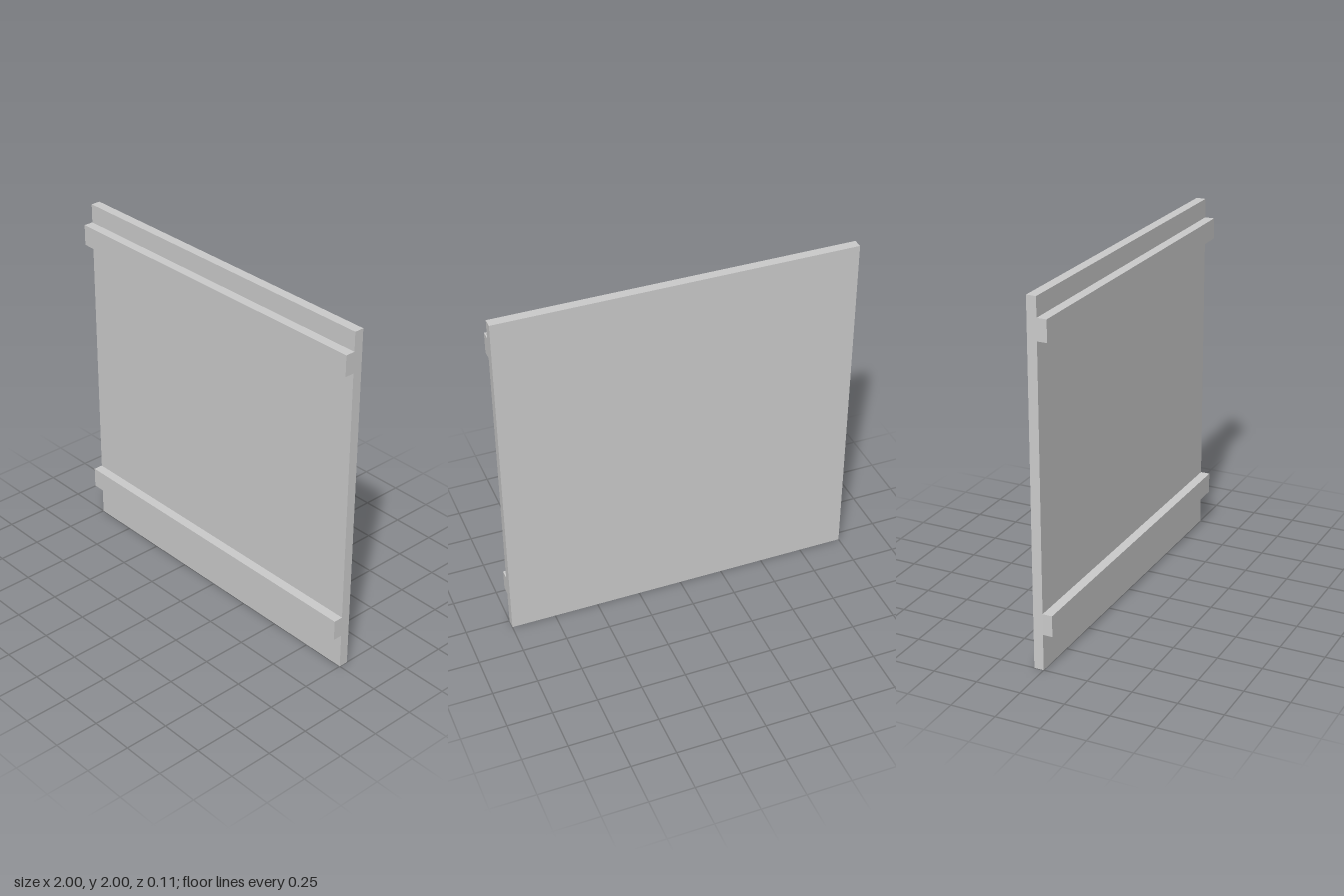
import * as THREE from 'three';

export function createModel() {
  const model = new THREE.Group();
  model.name = 'battenedPanel';
  const material = new THREE.MeshStandardMaterial({ color: 0xcccccc });

  // Full-width box given by its bottom, top, back and front
  function addBoard(name, y0, y1, z0, z1) {
    const board = new THREE.Mesh(new THREE.BoxGeometry(2, y1 - y0, z1 - z0), material);
    board.position.set(0, (y0 + y1) / 2, (z0 + z1) / 2);
    board.name = name;
    model.add(board);
  }

  // Flat square panel
  addBoard('panel', 0, 2, -0.054, 0);

  // Two horizontal battens on the front face
  addBoard('lowerBatten', 0.204, 0.322, 0, 0.054);
  addBoard('upperBatten', 1.775, 1.893, 0, 0.054);

  return model;
}
